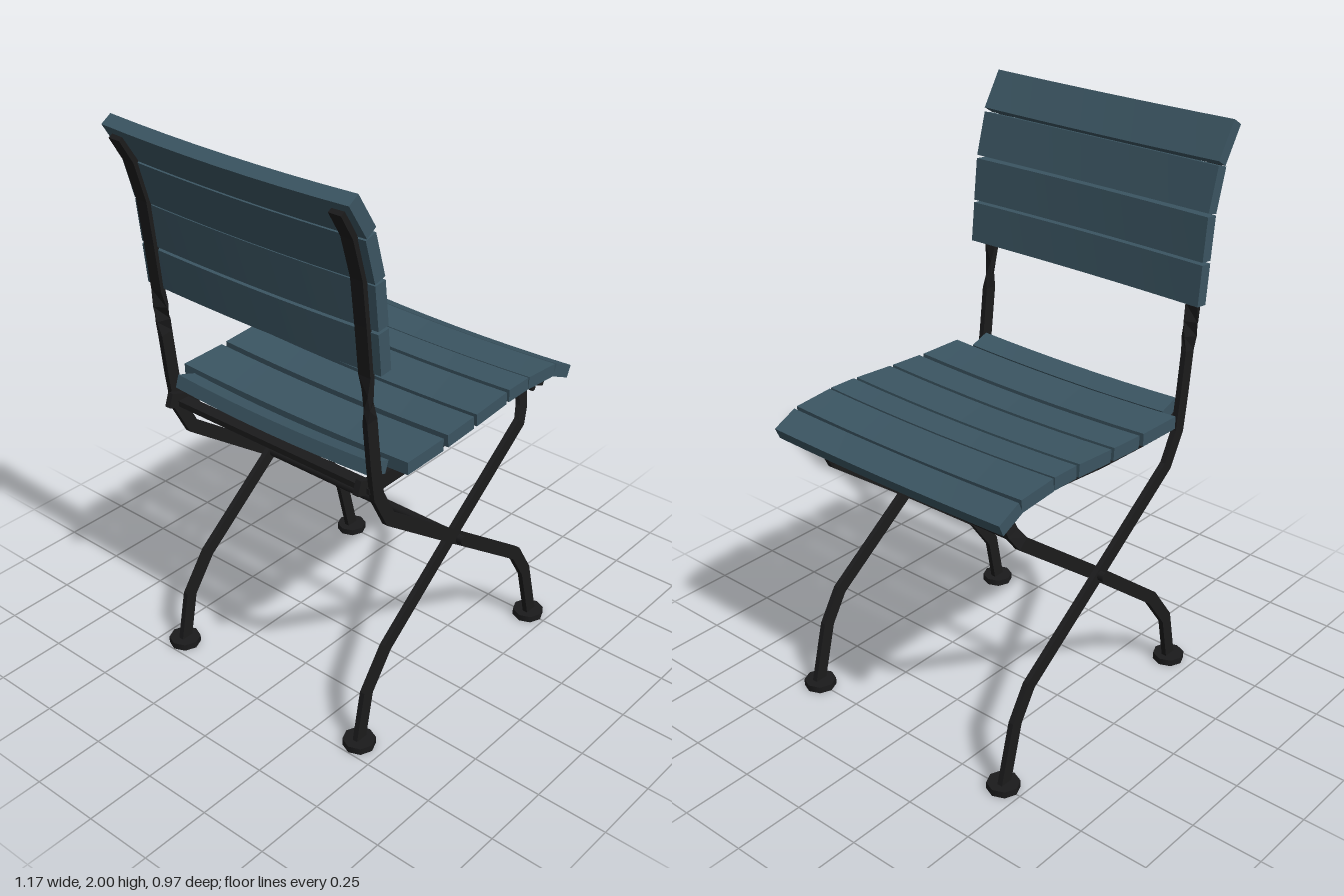
import * as THREE from 'three';
import { mergeVertices } from 'three/addons/utils/BufferGeometryUtils.js';

const slatPaint = new THREE.MeshStandardMaterial({ color: 0x3b5562 });
slatPaint.name = 'slate blue paint';
const iron = new THREE.MeshStandardMaterial({ color: 0x1b1b1c });
iron.name = 'black iron';

// Flat bar lofted along stations [x, y, z, twist]; width lies in the x-y plane until twisted.
function barGeometry(stations, width, thick) {
  const pos = [], idx = [];
  const n = stations.length;
  const dir = (a, b) => new THREE.Vector2(b[0] - a[0], b[1] - a[1]).normalize();
  stations.forEach((s, i) => {
    const before = dir(stations[Math.max(i - 1, 0)], stations[Math.max(i, 1)]);
    const after = dir(stations[Math.min(i, n - 2)], stations[Math.min(i + 1, n - 1)]);
    const t = before.clone().add(after).normalize();
    const miter = 1 / Math.max(0.6, t.dot(after));
    const c = Math.cos(s[3] || 0), q = Math.sin(s[3] || 0);
    for (const [u, v] of [[-1, -1], [1, -1], [1, 1], [-1, 1]]) {
      const a = u * width / 2, b = v * thick / 2;
      const side = (a * c - b * q) * miter;
      pos.push(s[0] - t.y * side, s[1] + t.x * side, s[2] + a * q + b * c);
    }
    if (i === 0) return;
    for (let k = 0; k < 4; k++) {
      const a = (i - 1) * 4 + k, b = (i - 1) * 4 + (k + 1) % 4;
      idx.push(a, b, a + 4, b, b + 4, a + 4);
    }
  });
  const e = (n - 1) * 4;
  idx.push(0, 2, 1, 0, 3, 2, e, e + 1, e + 2, e, e + 2, e + 3);
  // Orient outward: the section runs normal -> z, so the sweep needs its winding flipped
  const [p, r] = [stations[0], stations[1]];
  const tangent = new THREE.Vector3(r[0] - p[0], r[1] - p[1], 0).normalize();
  const across = new THREE.Vector3(-tangent.y, tangent.x, 0);
  if (across.cross(new THREE.Vector3(0, 0, 1)).dot(tangent) < 0) {
    for (let i = 0; i < idx.length; i += 3) [idx[i], idx[i + 1]] = [idx[i + 1], idx[i]];
  }
  const g = new THREE.BufferGeometry();
  g.setAttribute('position', new THREE.Float32BufferAttribute(pos, 3));
  g.setIndex(idx);
  const flat = g.toNonIndexed();
  flat.computeVertexNormals();
  return mergeVertices(flat);
}

// Slat whose sitting face runs from (x0, y0) to (x1, y1), dished towards its middle.
function slatGeometry([x0, y0, x1, y1], halfWidth) {
  const thick = 0.045, dish = 0.012;
  const g = new THREE.BoxGeometry(Math.hypot(x1 - x0, y1 - y0), thick, halfWidth * 2, 1, 1, 8);
  const p = g.attributes.position;
  for (let i = 0; i < p.count; i++) {
    const f = p.getZ(i) / halfWidth;
    p.setY(i, p.getY(i) - thick / 2 - dish * (1 - f * f));
  }
  g.rotateZ(Math.atan2(y1 - y0, x1 - x0));
  g.translate((x0 + x1) / 2, (y0 + y1) / 2, 0);
  g.computeVertexNormals();
  return g;
}

export function createModel() {
  const model = new THREE.Group();
  model.name = 'foldingChair';
  const add = (name, geometry, material) => {
    const mesh = new THREE.Mesh(geometry, material);
    mesh.name = name;
    model.add(mesh);
    return mesh;
  };

  // Seat slats, rear to front; the rear one fits between the legs
  const seat = [
    [-0.39, 1.075, -0.317, 1.05], [-0.302, 1.058, -0.125, 1.062], [-0.103, 1.064, 0.03, 1.072],
    [0.045, 1.073, 0.205, 1.085], [0.22, 1.087, 0.325, 1.089], [0.332, 1.088, 0.48, 1.077],
    [0.492, 1.073, 0.58, 1.032],
  ];
  seat.forEach((s, i) => add('seatSlat' + (i + 1), slatGeometry(s, i === 0 ? 0.42 : 0.483), slatPaint));

  // Backrest slats, top to bottom
  const back = [
    [-0.537, 2.0, -0.463, 1.882], [-0.463, 1.867, -0.422, 1.722],
    [-0.42, 1.71, -0.404, 1.563], [-0.404, 1.553, -0.39, 1.415],
  ];
  back.forEach((s, i) => add('backSlat' + (i + 1), slatGeometry(s, 0.485), slatPaint));

  const quarter = Math.PI / 2;
  for (const side of [1, -1]) {
    const tag = side > 0 ? 'Left' : 'Right';
    const bar = (name, pts, w, t) =>
      add(name + tag, barGeometry(pts.map(([x, y, z, a]) => [x, y, z * side, (a || 0) * side]), w, t), iron);

    // Front leg runs up through the cross and twists flat behind the backrest
    const z = 0.434;
    bar('frontLegAndBackPost', [
      [0.503, 0.01, z], [0.447, 0.23, z], [0.38, 0.34, z], [0.03, 0.59, z], [-0.33, 0.85, z],
      [-0.388, 0.96, z], [-0.405, 1.08, z], [-0.423, 1.24, z], [-0.429, 1.29, z, quarter * 0.3],
      [-0.434, 1.34, z, quarter * 0.7], [-0.44, 1.4, z, quarter], [-0.458, 1.57, z, quarter],
      [-0.476, 1.72, z, quarter], [-0.517, 1.86, z, quarter], [-0.567, 1.945, z, quarter],
    ], 0.046, 0.019);

    // Rear leg bends inwards under the front of the seat
    bar('rearLeg', [
      [-0.442, 0.01, 0.412], [-0.405, 0.195, 0.412], [-0.31, 0.325, 0.412], [0.03, 0.59, 0.412],
      [0.395, 0.865, 0.411], [0.425, 0.91, 0.396], [0.436, 0.95, 0.384], [0.442, 1.0, 0.381],
    ], 0.046, 0.019);

    // Curved rail under the slats
    bar('seatRail', [
      [-0.45, 1.008, 0.407], [-0.37, 0.98, 0.407], [-0.22, 0.983, 0.407], [0, 0.992, 0.407],
      [0.15, 1.006, 0.407], [0.3, 1.018, 0.407], [0.45, 1.012, 0.407], [0.525, 0.978, 0.407],
    ], 0.05, 0.022);

    // Feet
    for (const [name, x, fz] of [['frontFoot', 0.5, 0.43], ['rearFoot', -0.442, 0.413]]) {
      const foot = new THREE.CylinderGeometry(0.056, 0.056, 0.024, 8);
      foot.translate(x, 0.012, fz * side);
      add(name + tag, foot, iron);
    }
  }

  // Cross rods: leg pivot and front of the seat
  for (const [name, x, y, r, len] of [['pivotRod', 0.03, 0.59, 0.017, 0.93], ['frontRod', 0.442, 0.982, 0.012, 0.86]]) {
    const rod = new THREE.CylinderGeometry(r, r, len, 8);
    rod.rotateX(Math.PI / 2);
    rod.translate(x, y, 0);
    add(name, rod, iron);
  }

  // Rear cross bar under the seat
  const rear = new THREE.BoxGeometry(0.045, 0.02, 0.86);
  rear.translate(-0.395, 0.985, 0);
  add('rearCrossBar', rear, iron);

  return model;
}
